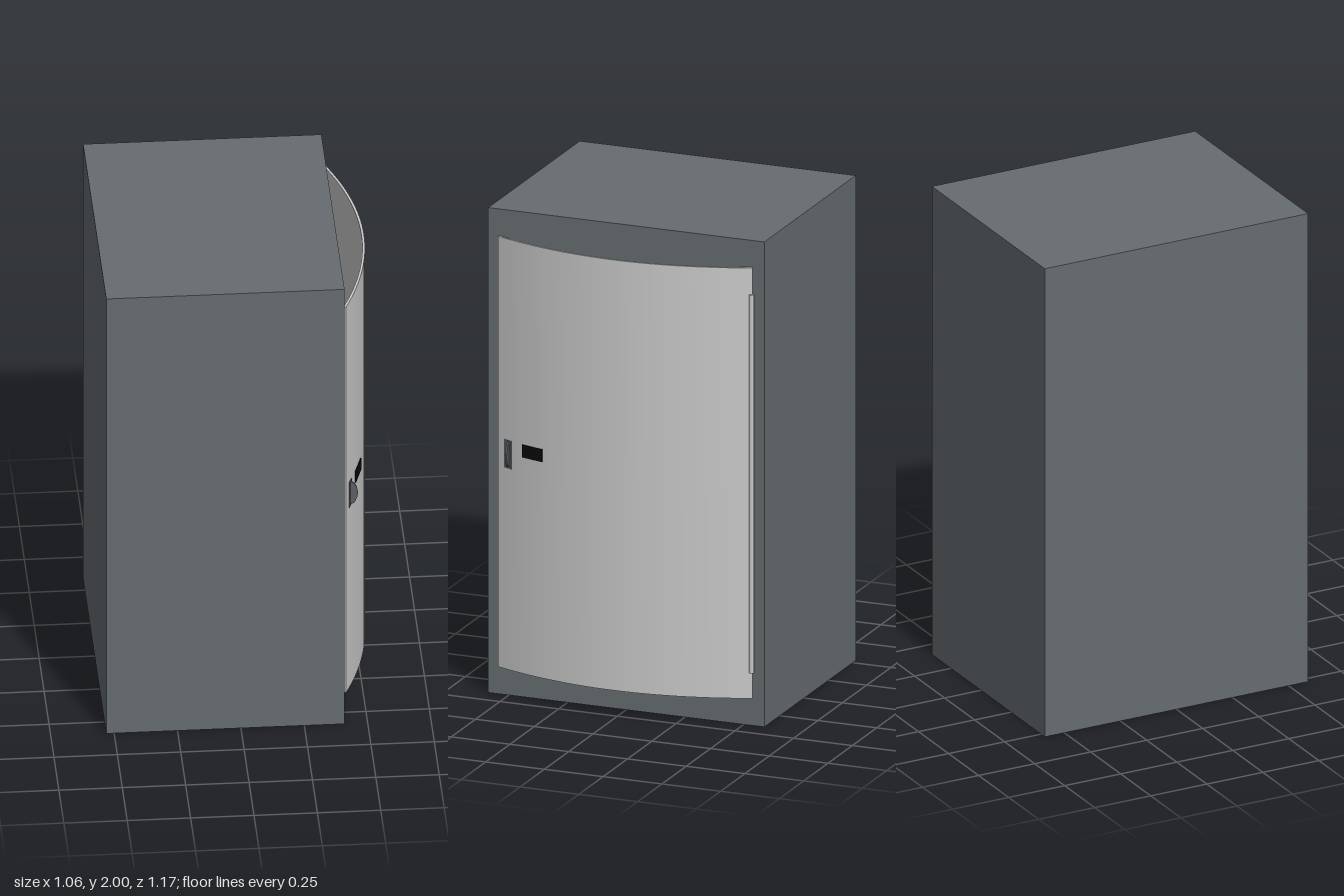
import * as THREE from 'three';
import { toCreasedNormals } from 'three/addons/utils/BufferGeometryUtils.js';

const steel = new THREE.MeshStandardMaterial({ color: 0x666c70 });
const grey = new THREE.MeshStandardMaterial({ color: 0xcccccc });
const metal = new THREE.MeshStandardMaterial({ color: 0x5c6064 });
const black = new THREE.MeshStandardMaterial({ color: 0x0a0a0a });

const FACE = 0.408; // cabinet face that carries the door
const doorX = (z) => 0.53 - 0.112 * (z / 0.54) ** 2; // outer curve of the door
const doorAngle = (z) => Math.atan(0.224 * z / 0.54 ** 2); // turn of the surface about y

function add(parent, name, geometry, material, x = 0, y = 0, z = 0) {
  const mesh = new THREE.Mesh(geometry, material);
  mesh.name = name;
  mesh.position.set(x, y, z);
  parent.add(mesh);
  return mesh;
}

function rectangle(target, w, h) {
  target.moveTo(-w / 2, -h / 2);
  target.lineTo(w / 2, -h / 2);
  target.lineTo(w / 2, h / 2);
  target.lineTo(-w / 2, h / 2);
  target.closePath();
  return target;
}

export function createModel() {
  const model = new THREE.Group();
  model.name = 'cabinet';

  // Hollow body with a door opening towards +x
  const ring = rectangle(new THREE.Shape(), 1.175, 2);
  ring.holes.push(rectangle(new THREE.Path(), 0.96, 1.64));
  const shell = new THREE.ExtrudeGeometry(ring, { depth: 0.9, bevelEnabled: false });
  shell.rotateY(Math.PI / 2);
  add(model, 'body', shell, steel, FACE - 0.9, 1, 0);
  const backX = FACE - 0.9;
  add(model, 'bodyEndPanel', new THREE.BoxGeometry(backX + 0.532, 2, 1.175), steel, (backX - 0.532) / 2, 1, 0);

  // Bowed door, a thin curved section extruded upwards
  const outer = [], inner = [];
  const steps = 32;
  for (let i = 0; i <= steps; i++) {
    const z = -0.542 + 1.084 * i / steps;
    const a = doorAngle(z);
    outer.push(new THREE.Vector2(doorX(z), -z));
    inner.push(new THREE.Vector2(doorX(z) - 0.01 * Math.cos(a), -z + 0.01 * Math.sin(a)));
  }
  const section = new THREE.Shape([...outer, ...inner.reverse()]);
  const door = new THREE.ExtrudeGeometry(section, { depth: 1.775, bevelEnabled: false });
  door.rotateX(-Math.PI / 2);
  add(model, 'door', toCreasedNormals(door, 0.5), grey, 0, 0.115, 0);

  // Hinge rod along the rear edge of the door
  add(model, 'hinge', new THREE.CylinderGeometry(0.01, 0.01, 1.56, 8), grey, 0.418, 1, -0.537);

  // Black label plate on the door
  const label = add(model, 'labelPlate', new THREE.BoxGeometry(0.007, 0.052, 0.1), black, doorX(0.371), 1.033, 0.371);
  label.rotation.y = -doorAngle(0.371);

  // Latch: flush plate, rounded grip and bolt
  const latch = new THREE.Group();
  latch.name = 'latch';
  model.add(latch);
  const lz = 0.49;
  const plate = add(latch, 'latchPlate', new THREE.BoxGeometry(0.012, 0.116, 0.037), metal, doorX(lz) - 0.004, 1.003, lz);
  plate.rotation.y = -doorAngle(lz);
  const grip = new THREE.Shape();
  grip.moveTo(0, -0.055);
  grip.lineTo(0.018, -0.045);
  grip.quadraticCurveTo(0.048, 0, 0.018, 0.045);
  grip.lineTo(0, 0.055);
  grip.closePath();
  const gripGeo = new THREE.ExtrudeGeometry(grip, { depth: 0.008, bevelEnabled: false, curveSegments: 8 });
  add(latch, 'latchGrip', gripGeo, metal, 0.435, 1.003, lz - 0.006);
  add(latch, 'latchBolt', new THREE.BoxGeometry(0.062, 0.014, 0.007), metal, 0.438, 1.003, lz - 0.002);

  // Bring the whole model onto its centre line
  const box = new THREE.Box3().setFromObject(model);
  const shift = (box.min.x + box.max.x) / 2;
  model.children.forEach((part) => { part.position.x -= shift; });
  return model;
}
